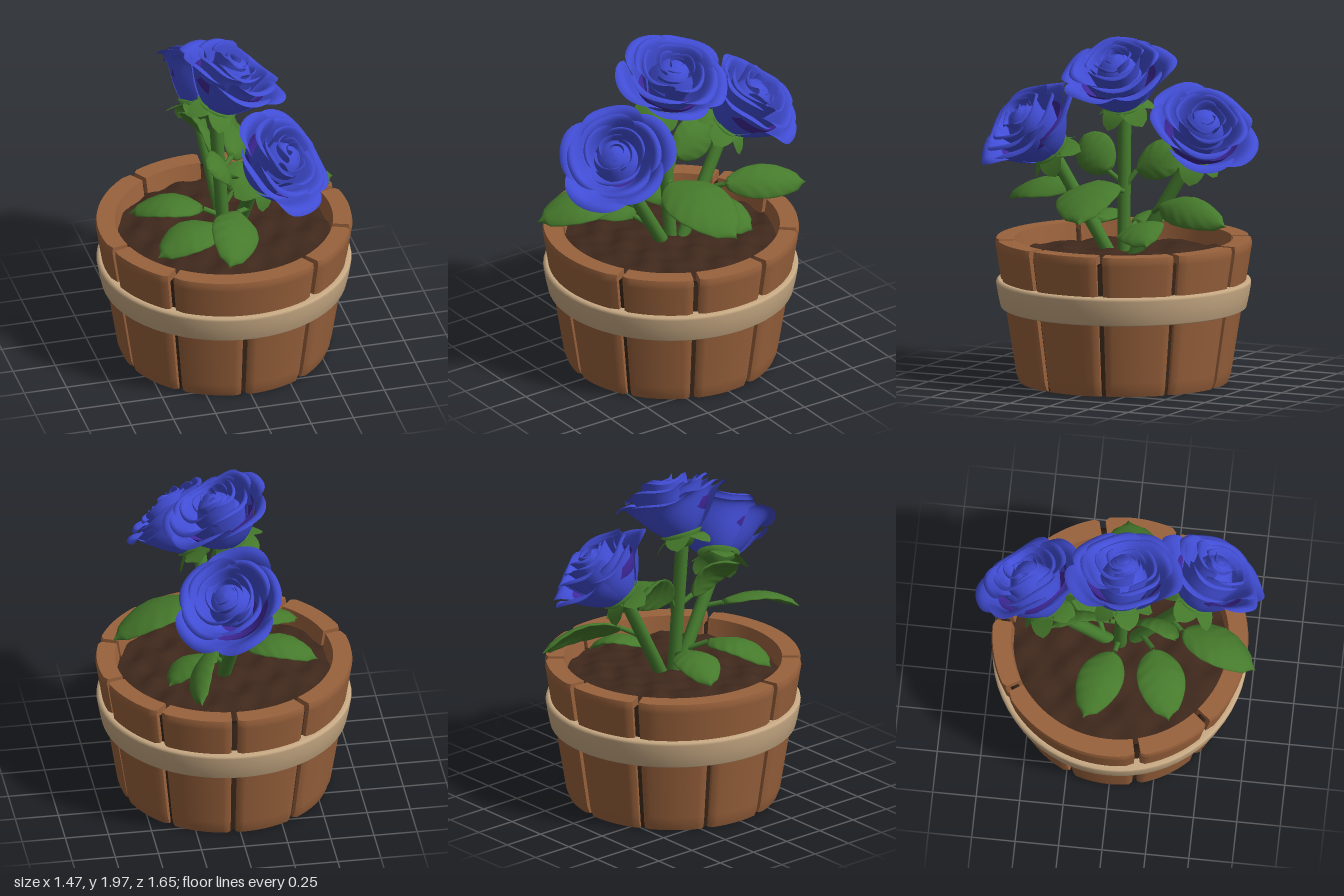
import * as THREE from 'three';
import { ParametricGeometry } from 'three/addons/geometries/ParametricGeometry.js';

const material = (name, color, side = THREE.FrontSide) => {
  const m = new THREE.MeshStandardMaterial({ color, side });
  m.name = name;
  return m;
};
const V = (x, y, z) => new THREE.Vector3(x, y, z);
const UP = V(0, 1, 0);

export function createModel() {
  const wood = material('wood', 0x9a623c);
  const tan = material('tan band', 0xc8aa84);
  const dark = material('dark wood', 0x3e2a1c);
  const earth = material('soil', 0x3f281c, THREE.DoubleSide);
  const blue = material('petal blue', 0x414dd4, THREE.DoubleSide);
  const purple = material('petal shade', 0x40289a, THREE.DoubleSide);
  const leafGreen = material('leaf green', 0x467a2c, THREE.DoubleSide);
  const stemGreen = material('stem green', 0x457c2e);

  const model = new THREE.Group();
  const add = (parent, name, geometry, mat) => {
    const mesh = new THREE.Mesh(geometry, mat);
    mesh.name = name;
    parent.add(mesh);
    return mesh;
  };
  const lathe = (pts) => new THREE.LatheGeometry(pts.map(([x, y]) => new THREE.Vector2(x, y)), 64);
  const patch = (fn, nu, nv) => new ParametricGeometry(fn, nu, nv);
  const tube = (a, b, r) => new THREE.TubeGeometry(new THREE.LineCurve3(a, b), 4, r, 10);

  // Tub: tapered staves bent around the centre, with softened edges
  const tub = new THREE.Group();
  tub.name = 'tub';
  model.add(tub);
  const outer = (y) => 0.607 + 0.16 * y;
  const stave = (fromDeg, toDeg, y0, y1, softBottom) => {
    const mid = THREE.MathUtils.degToRad((fromDeg + toDeg) / 2);
    const span = THREE.MathUtils.degToRad(toDeg - fromDeg) - 0.05;
    const g = new THREE.BoxGeometry(1, 1, 1, 16, 12, 1);
    const p = g.attributes.position;
    for (let i = 0; i < p.count; i++) {
      const u = p.getX(i), t = p.getY(i) + 0.5;
      const y = y0 + t * (y1 - y0);
      const end = softBottom ? t < 0.01 : t > 0.99;
      let r = outer(y);
      if (p.getZ(i) > 0) r -= (Math.abs(u) > 0.49 ? 0.014 : 0) + (end ? 0.01 : 0);
      else r -= 0.115;
      const a = mid - u * span;
      p.setXYZ(i, r * Math.cos(a), y, r * Math.sin(a));
    }
    g.computeVertexNormals();
    return g;
  };
  const lowerGaps = [22, 58, 94, 130, 166, 202, 238, 274, 310, 346];
  const upperGaps = lowerGaps.filter((a) => a !== 94 && a !== 202);
  for (const [gaps, y0, y1, name] of [[lowerGaps, 0.003, 0.51, 'lowerStave'], [upperGaps, 0.51, 0.83, 'upperStave']])
    gaps.forEach((a, i) => {
      const b = i + 1 < gaps.length ? gaps[i + 1] : gaps[0] + 360;
      add(tub, name, stave(a, b, y0, y1, y0 < 0.1), wood);
    });
  add(tub, 'base', lathe([[0, 0], [0.588, 0]]), wood);
  add(tub, 'liner', lathe([[0.57, 0.004], [0.69, 0.78], [0.64, 0.78], [0.64, 0.6]]), dark);
  add(tub, 'band', lathe([
    [0.66, 0.43], [0.692, 0.428], [0.704, 0.436], [0.72, 0.51], [0.731, 0.575], [0.727, 0.59], [0.712, 0.596], [0.66, 0.594]]), tan);

  // Lumpy soil
  add(model, 'soil', patch((u, v, out) => {
    const a = u * Math.PI * 2, r = v * 0.645, x = r * Math.cos(a), z = r * Math.sin(a);
    const lumps = Math.sin(19 * x + 5 * z) * Math.sin(21 * z - 6 * x) + 0.6 * Math.sin(33 * x - 9 * z) * Math.sin(29 * z + 8 * x);
    out.set(x, 0.725 + 0.035 * (1 - v * v) + 0.013 * lumps, z);
  }, 96, 32), earth);

  // Rose: rings of bowl-shaped petals with rolled rims, built along local y
  const petal = (angle, half, r0, r1, height, flare) => patch((u, v, out) => {
    const s = u * 2 - 1;
    const t = v * (1 - 0.2 * Math.pow(Math.abs(s), 3.5));
    const cup = (1 - flare) * Math.pow(Math.sin(t * Math.PI / 2), 0.7) + flare * Math.pow(t, 5);
    const r = r0 + (r1 - r0) * cup + 0.018 * s * t;
    const a = angle + s * half;
    const y = height * (t - 0.2 * Math.pow(t, 10)) + 0.014 * Math.sin(s * 4 + angle * 3) * t * t;
    out.set(r * Math.cos(a), y, r * Math.sin(a));
  }, 16, 18);
  const petalRings = [
    // count, half angle, base radius, rim radius, height, flare
    [5, 0.8, 0.05, 0.32, 0.295, 0.3],
    [4, 0.95, 0.045, 0.25, 0.36, 0.28],
    [3, 1.2, 0.04, 0.175, 0.39, 0.25],
    [3, 1.25, 0.03, 0.105, 0.4, 0.25],
    [2, 1.7, 0.015, 0.05, 0.4, 0.2],
  ];
  const rose = (base, axis, scale, turn) => {
    const g = new THREE.Group();
    g.name = 'rose';
    petalRings.forEach(([n, half, r0, r1, h, flare], ring) => {
      for (let i = 0; i < n; i++) {
        const wobble = 1 + 0.06 * Math.sin(i * 2.3 + turn + ring);
        const a = turn + ring * 0.7 + i * Math.PI * 2 / n;
        add(g, 'petal', petal(a, half, r0, r1 * wobble, h * (2 - wobble), flare), blue);
      }
    });
    // Shaded fold between the two outer rings, and a closed heart
    add(g, 'innerShade', lathe([[0.05, 0.03], [0.13, 0.08], [0.19, 0.15], [0.21, 0.195]]), purple);
    add(g, 'heart', lathe([[0.13, 0.2], [0.1, 0.27], [0.06, 0.32], [0, 0.33]]), blue);
    // Green cup and drooping sepals
    add(g, 'cup', lathe([[0, -0.05], [0.04, -0.05], [0.075, -0.01], [0.12, 0.03], [0, 0.04]]), stemGreen);
    for (let i = 0; i < 5; i++) {
      const a = i * Math.PI * 0.4 + turn;
      add(g, 'sepal', patch((u, v, out) => {
        const w = (u - 0.5) * 0.2 * Math.pow(1 - v, 0.6) * (0.6 + v);
        const r = 0.03 + 0.14 * v, y = 0.02 - 0.08 * v * v;
        out.set(r * Math.cos(a) - w * Math.sin(a), y, r * Math.sin(a) + w * Math.cos(a));
      }, 6, 8), leafGreen);
    }
    g.position.copy(base);
    g.quaternion.setFromUnitVectors(UP, axis.normalize());
    g.scale.setScalar(scale);
    model.add(g);
  };
  const roses = [
    // stem foot, rose base, axis, scale, turn
    [V(0, 0.7, 0), V(-0.06, 1.58, 0.02), V(0.42, 0.9, 0), 1.03, 0.3],
    [V(0.03, 0.7, 0.05), V(0.08, 1.31, 0.41), V(0.48, 0.68, 0.42), 1.03, 1.1],
    [V(0.02, 0.7, -0.05), V(-0.05, 1.32, -0.41), V(0.38, 0.72, -0.44), 1.04, 2],
  ];
  for (const [foot, base, axis, scale, turn] of roses) {
    add(model, 'stem', tube(foot, base, 0.038), stemGreen);
    rose(base, axis, scale, turn);
  }

  // Leaf: pointed oval with a lens section, edges curving down and an arch
  const leaf = (base, tip, width, facing) => {
    const dir = tip.clone().sub(base);
    const side = dir.clone().cross(facing).normalize();
    const normal = side.clone().cross(dir).normalize();
    return patch((u, v, out) => {
      const a = u * Math.PI * 2, c = Math.cos(a);
      const w = 0.05 + 0.95 * Math.pow(Math.sin(Math.PI * Math.pow(v, 0.85)), 0.7);
      const fade = Math.min(1, 8 * (1 - v));
      const vein = 0.002 * Math.sin(v * 34 - Math.abs(c) * 7) * Math.abs(c) * w;
      out.copy(base).addScaledVector(dir, v)
        .addScaledVector(side, c * w * fade * width / 2)
        .addScaledVector(normal, 0.018 * Math.sin(a) * fade - 0.025 * c * c * w + vein + 0.06 * Math.sin(Math.PI * v));
    }, 24, 24);
  };
  const leaves = [
    // stalk start, leaf base, tip, width, facing
    [V(0, 1.1, 0), V(0.12, 1.16, 0.1), V(0.65, 1.0, -0.02), 0.38, V(0.1, 1, 0.15)],
    [V(0.02, 1.0, -0.2), V(0.12, 1.05, -0.29), V(0.25, 0.98, -0.77), 0.21, V(0.8, 0.7, 0)],
    [V(0.02, 0.84, -0.1), V(0.08, 0.91, -0.13), V(0.37, 0.85, -0.32), 0.28, V(0.4, 1, 0.1)],
    [V(-0.02, 1.14, 0.01), V(-0.04, 1.2, 0.11), V(-0.19, 1.38, 0.34), 0.24, V(0.95, 0.45, 0)],
    [V(-0.02, 1.14, -0.01), V(-0.05, 1.22, -0.06), V(-0.17, 1.34, -0.38), 0.24, V(0.95, 0.45, 0)],
    [V(0.07, 1.05, 0.28), V(-0.02, 1.08, 0.36), V(-0.18, 0.99, 0.8), 0.28, V(0.35, 1, 0)],
    [V(0.03, 0.84, 0.12), V(-0.08, 0.9, 0.2), V(-0.48, 0.83, 0.33), 0.28, V(0.1, 1, 0.1)],
    [V(0, 0.84, 0), V(-0.12, 0.9, -0.02), V(-0.52, 0.85, -0.16), 0.26, V(0, 1, 0)],
  ];
  for (const [start, base, tip, width, facing] of leaves) {
    add(model, 'leafStalk', tube(start, base, 0.015), stemGreen);
    add(model, 'leaf', leaf(base, tip, width, facing), leafGreen);
  }
  return model;
}
